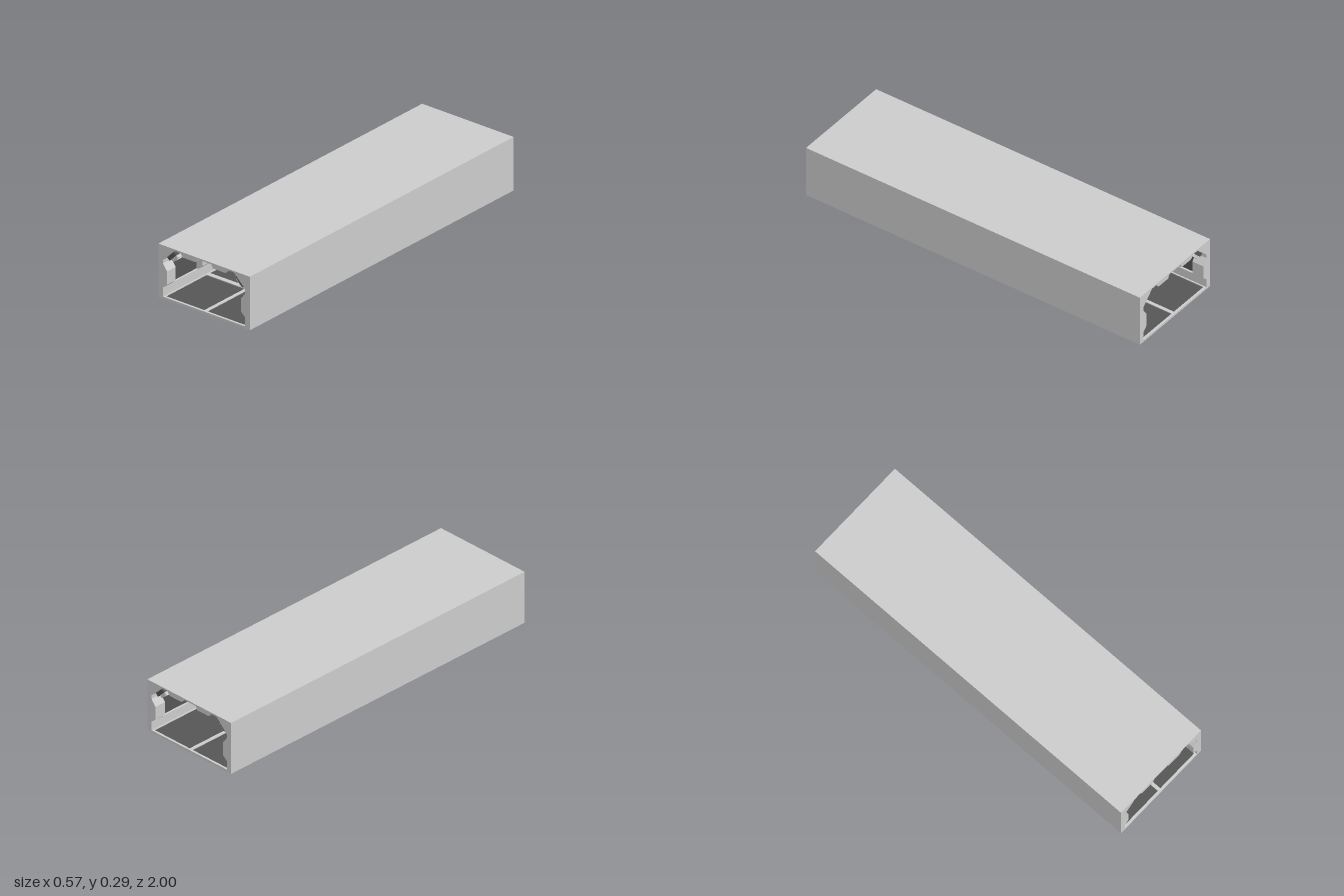
import * as THREE from 'three';

const BAYS = 6, BAY = 2 / BAYS;
const grey = new THREE.MeshStandardMaterial({ color: 0xcccccc, flatShading: true });
const dark = new THREE.MeshStandardMaterial({ color: 0x555555, flatShading: true });

const toShape = pts => new THREE.Shape(pts.map(p => new THREE.Vector2(p[0], p[1])));

function extrude(shape, depth) {
  return new THREE.ExtrudeGeometry(shape, { depth, bevelEnabled: false, curveSegments: 4 });
}

function add(parent, name, geometry, material, x = 0, y = 0, z = 0) {
  const mesh = new THREE.Mesh(geometry, material);
  mesh.name = name;
  mesh.position.set(x, y, z);
  parent.add(mesh);
  return mesh;
}

// Rounded rectangle centred on the origin
function roundedRect(target, w, h, r) {
  const a = w / 2, b = h / 2;
  target.moveTo(-a + r, -b);
  target.lineTo(a - r, -b).quadraticCurveTo(a, -b, a, -b + r);
  target.lineTo(a, b - r).quadraticCurveTo(a, b, a - r, b);
  target.lineTo(-a + r, b).quadraticCurveTo(-a, b, -a, b - r);
  target.lineTo(-a, -b + r).quadraticCurveTo(-a, -b, -a + r, -b);
  return target;
}

// Walls and ceiling as one arch, with recessed wall bays and ceiling rails
function createShell() {
  const half = [
    [0.287, 0.012], [0.258, 0.012], [0.258, 0.06], [0.272, 0.06], [0.272, 0.19],
    [0.258, 0.19], [0.258, 0.21], [0.187, 0.28], [0.15, 0.28], [0.133, 0.26],
    [0.055, 0.26], [0.045, 0.28],
  ];
  const mirrored = half.map(([x, y]) => [-x, y]).reverse();
  return extrude(toShape([...half, ...mirrored, [-0.287, 0.288], [0.287, 0.288]]), 2);
}

// Floor slab with two openings per bay, filled by inset panels
function createFloor() {
  const floor = new THREE.Group();
  floor.name = 'floor';
  const slab = toShape([[-0.287, -1], [0.287, -1], [0.287, 1], [-0.287, 1]]);
  const w = 0.242, l = 0.308;
  for (let i = 0; i < BAYS; i++) {
    for (const s of [-1, 1]) {
      const x = s * 0.13, z = -1 + (i + 0.5) * BAY;
      const hole = new THREE.Path([
        [-1, -1], [-1, 1], [1, 1], [1, -1],
      ].map(([a, b]) => new THREE.Vector2(x + a * w / 2, z + b * l / 2)));
      hole.closePath();
      slab.holes.push(hole);
      add(floor, 'floorPanel', new THREE.BoxGeometry(w, 0.003, l), dark, x, 0.0065, z);
      add(floor, 'floorPanelUnderside', new THREE.BoxGeometry(w, 0.003, l), grey, x, 0.0035, z);
    }
  }
  add(floor, 'floorFrame', extrude(slab, 0.012).rotateX(-Math.PI / 2), grey);
  return floor;
}

// Lamp: dark rounded housing carrying a hollow rim; local +z is the lit direction
function createLamp() {
  const lamp = new THREE.Group();
  lamp.name = 'cornerLamp';
  add(lamp, 'lampHousing', extrude(roundedRect(new THREE.Shape(), 0.145, 0.07, 0.014), 0.02), dark);
  const rim = roundedRect(new THREE.Shape(), 0.125, 0.053, 0.012);
  rim.holes.push(roundedRect(new THREE.Path(), 0.1, 0.034, 0.008));
  add(lamp, 'lampRim', extrude(rim, 0.016), grey, 0, 0, 0.02);
  return lamp;
}

// Wall rib protruding into the passage, on the side given by s
function createRib(s, depth) {
  const pts = [[0.273, 0.06], [0.258, 0.06], [0.232, 0.083], [0.232, 0.155], [0.258, 0.19], [0.273, 0.19]];
  return extrude(toShape(pts.map(([x, y]) => [s * x, y])), depth);
}

export function createModel() {
  const model = new THREE.Group();
  model.name = 'corridorSection';
  add(model, 'shell', createShell(), grey, 0, 0, -1);
  model.add(createFloor());

  const ribHalf = 0.065;
  for (const s of [-1, 1]) {
    // Ribs at bay boundaries, halved at the two ends
    for (let i = 0; i <= BAYS; i++) {
      const z = -1 + i * BAY;
      const start = Math.max(-1, z - ribHalf), end = Math.min(1, z + ribHalf);
      add(model, 'wallRib', createRib(s, end - start), grey, 0, 0, start);
    }
    for (let i = 0; i < BAYS; i++) {
      const z = -1 + (i + 0.5) * BAY;
      // Dark panel set in the recess between ribs
      add(model, 'wallPanel', new THREE.BoxGeometry(0.004, 0.13, BAY - 2 * ribHalf), dark, s * 0.271, 0.125, z);
      // Pair of lamps on the sloped corner
      for (const dz of [-0.082, 0.082]) {
        const lamp = createLamp();
        lamp.position.set(s * 0.222, 0.244, z + dz);
        lamp.lookAt(s * 0.122, 0.144, z + dz);
        model.add(lamp);
      }
    }
  }
  return model;
}
